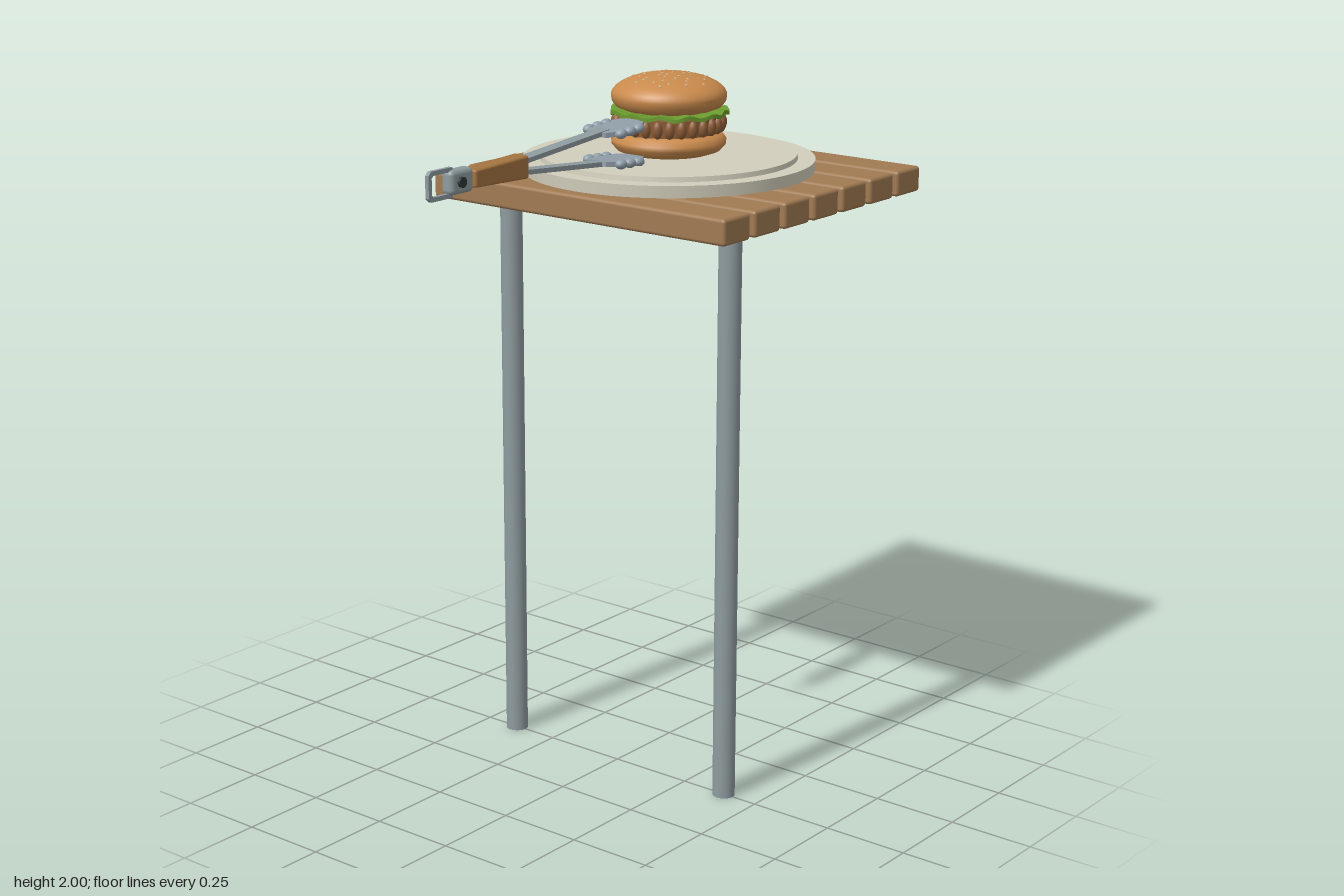
import * as THREE from 'three';
import { RoundedBoxGeometry } from 'three/addons/geometries/RoundedBoxGeometry.js';

const mat = (name, color) => {
  const m = new THREE.MeshStandardMaterial({ color });
  m.name = name;
  return m;
};

export function createModel() {
  const root = new THREE.Group();
  const wood = mat('table wood', 0xa07a52);
  const steel = mat('steel', 0x8e9b9f);
  const stone = mat('plate cream', 0xd2cebc);
  const bun = mat('bun', 0xc98a4c);
  const green = mat('lettuce green', 0x6a9a2e);
  const meat = mat('patty brown', 0x8a5a34);
  const seedMat = mat('sesame', 0xcbb08a);
  const grip = mat('grip wood', 0xa3733f);
  const headSteel = mat('tong head steel', 0x919ea9);
  const dark = mat('dark pivot', 0x2f3538);

  const add = (parent, name, geo, m, x = 0, y = 0, z = 0) => {
    const mesh = new THREE.Mesh(geo, m);
    mesh.name = name;
    mesh.position.set(x, y, z);
    parent.add(mesh);
    return mesh;
  };
  const group = (name, x, y, z) => {
    const g = new THREE.Group();
    g.name = name;
    g.position.set(x, y, z);
    root.add(g);
    return g;
  };
  const lathe = (pts, seg = 64) =>
    new THREE.LatheGeometry(pts.map(p => new THREE.Vector2(p[0], p[1])), seg);

  // Slatted table top
  const table = group('table', 0, 0, 0);
  const slat = new RoundedBoxGeometry(1.022, 0.073, 0.117, 3, 0.01);
  for (let i = 0; i < 7; i++) add(table, 'slat', slat, wood, 0, 1.687, -0.686 + i * 0.1365);

  // Two posts
  const leg = new THREE.CylinderGeometry(0.032, 0.032, 1.65, 32);
  for (const s of [-1, 1]) add(table, 'leg', leg, steel, s * 0.39, 0.825, 0);

  // Plate with a slightly raised centre
  const plate = group('plate', -0.023, 1.724, -0.26);
  add(plate, 'plateRim', new THREE.CylinderGeometry(0.416, 0.414, 0.034, 96), stone, 0, 0.017, 0);
  add(plate, 'plateCentre', new THREE.CylinderGeometry(0.364, 0.366, 0.014, 96), stone, 0, 0.041, 0);

  // Burger
  const burger = group('burger', -0.023, 0, -0.26);
  add(burger, 'bottomBun', lathe([[0, 1.772], [0.12, 1.773], [0.147, 1.782], [0.162, 1.799],
    [0.163, 1.812], [0.152, 1.827], [0.13, 1.836], [0, 1.838]]), bun);
  add(burger, 'patty', new THREE.CylinderGeometry(0.15, 0.15, 0.048, 48), meat, 0, 1.86, 0);
  const bump = new THREE.SphereGeometry(1, 14, 10);
  const bumps = 28;
  for (let i = 0; i < bumps; i++) {
    const a = (i / bumps) * Math.PI * 2;
    const b = add(burger, 'pattyBump', bump, meat, Math.sin(a) * 0.15, 1.859, Math.cos(a) * 0.15);
    b.scale.set(0.0145, 0.025, 0.0145);
  }

  // Wavy lettuce leaf, wider toward the sides
  const leaf = new THREE.CylinderGeometry(0.168, 0.168, 0.011, 120, 1);
  const p = leaf.attributes.position;
  for (let i = 0; i < p.count; i++) {
    const x = p.getX(i), z = p.getZ(i);
    if (Math.hypot(x, z) < 0.01) continue;
    const a = Math.atan2(z, x);
    const k = 1 + 0.022 * Math.sin(9 * a + 1);
    p.setXYZ(i, x * k * 1.02, p.getY(i) + 0.004 * Math.sin(13 * a), z * k * 0.95);
  }
  leaf.computeVertexNormals();
  add(burger, 'lettuce', leaf, green, 0, 1.891, 0);

  // Domed top bun
  const dome = [[0, 1.895], [0.125, 1.896], [0.15, 1.906], [0.161, 1.92]];
  const R = 0.164, H = 0.064, Y0 = 1.935;
  for (let i = 0; i <= 12; i++) {
    const t = (i / 12) * Math.PI / 2;
    dome.push([i === 12 ? 0 : R * Math.cos(t), Y0 + H * Math.sin(t)]);
  }
  add(burger, 'topBun', lathe(dome), bun);

  // Sesame seeds scattered in a golden-angle spiral
  const seed = new THREE.SphereGeometry(1, 8, 6);
  const up = new THREE.Vector3(0, 1, 0);
  for (let i = 0; i < 48; i++) {
    const r = 0.125 * Math.sqrt((i + 0.5) / 48), a = i * 2.4 + 0.4 * Math.sin(i * 5.1);
    const x = r * Math.cos(a), z = r * Math.sin(a);
    const h = H * Math.sqrt(1 - (r / R) ** 2);
    const s = add(burger, 'seed', seed, seedMat, x, Y0 + h, z);
    const n = new THREE.Vector3(x / R ** 2, h / H ** 2, z / R ** 2).normalize();
    s.quaternion.setFromUnitVectors(up, n);
    s.rotateY(i * 1.7);
    s.scale.set(0.0035, 0.002, 0.0058);
  }

  // Tongs: two spread arms, each with a knuckled gripping head
  const tongs = group('tongs', -0.022, 1.829, 0);
  const oct = new THREE.Shape();
  [[-0.034, -0.085], [0.034, -0.085], [0.053, -0.055], [0.053, 0.05], [0.03, 0.085],
    [-0.03, 0.085], [-0.053, 0.05], [-0.053, -0.055]].forEach(([x, y], i) =>
    i ? oct.lineTo(x, y) : oct.moveTo(x, y));
  const palm = new THREE.ExtrudeGeometry(oct, { depth: 0.014, bevelEnabled: false });
  palm.translate(0, 0, -0.007).rotateX(-Math.PI / 2);
  const arm = new THREE.BoxGeometry(0.039, 0.013, 0.37);
  const knuckle = new THREE.SphereGeometry(1, 16, 12);
  for (const s of [-1, 1]) {
    add(tongs, 'arm', arm, steel, 0, s * 0.029, 0.215).rotation.x = s * 0.085;
    const head = new THREE.Group();
    head.name = 'tongHead';
    head.position.set(0, s * 0.045, -0.021);
    head.rotation.x = s * 0.06;
    tongs.add(head);
    add(head, 'palm', palm, headSteel);
    for (const side of [-1, 1]) for (let i = -1; i <= 1; i++) {
      add(head, 'knuckle', knuckle, headSteel, side * 0.057, 0, i * 0.038 + 0.01)
        .scale.set(0.016, 0.014, 0.019);
    }
  }

  // Tapered wooden grip
  const handle = new RoundedBoxGeometry(0.052, 0.064, 0.213, 3, 0.008);
  const hp = handle.attributes.position;
  for (let i = 0; i < hp.count; i++) hp.setY(i, hp.getY(i) * (0.87 - hp.getZ(i) * 1.2));
  handle.computeVertexNormals();
  add(tongs, 'grip', handle, grip, 0, 0, 0.481);

  // End clasp with pivot and hanging loop
  add(tongs, 'clasp', new RoundedBoxGeometry(0.04, 0.066, 0.088, 4, 0.014), steel, 0, 0, 0.629);
  add(tongs, 'pivot', new THREE.CylinderGeometry(0.014, 0.014, 0.056, 20), dark, 0, 0, 0.637)
    .rotation.z = Math.PI / 2;
  const ring = new THREE.Shape();
  const rect = (path, a, b, h, c) => {
    path.moveTo(a, -h);
    path.lineTo(b - c, -h);
    path.lineTo(b, -h + c);
    path.lineTo(b, h - c);
    path.lineTo(b - c, h);
    path.lineTo(a, h);
    path.closePath();
    return path;
  };
  rect(ring, 0.655, 0.745, 0.04, 0.01);
  ring.holes.push(rect(new THREE.Path(), 0.667, 0.733, 0.028, 0.006));
  const loop = new THREE.ExtrudeGeometry(ring, { depth: 0.012, bevelEnabled: false });
  loop.translate(0, 0, -0.006).rotateY(-Math.PI / 2);
  add(tongs, 'hangingLoop', loop, steel);

  return root;
}
